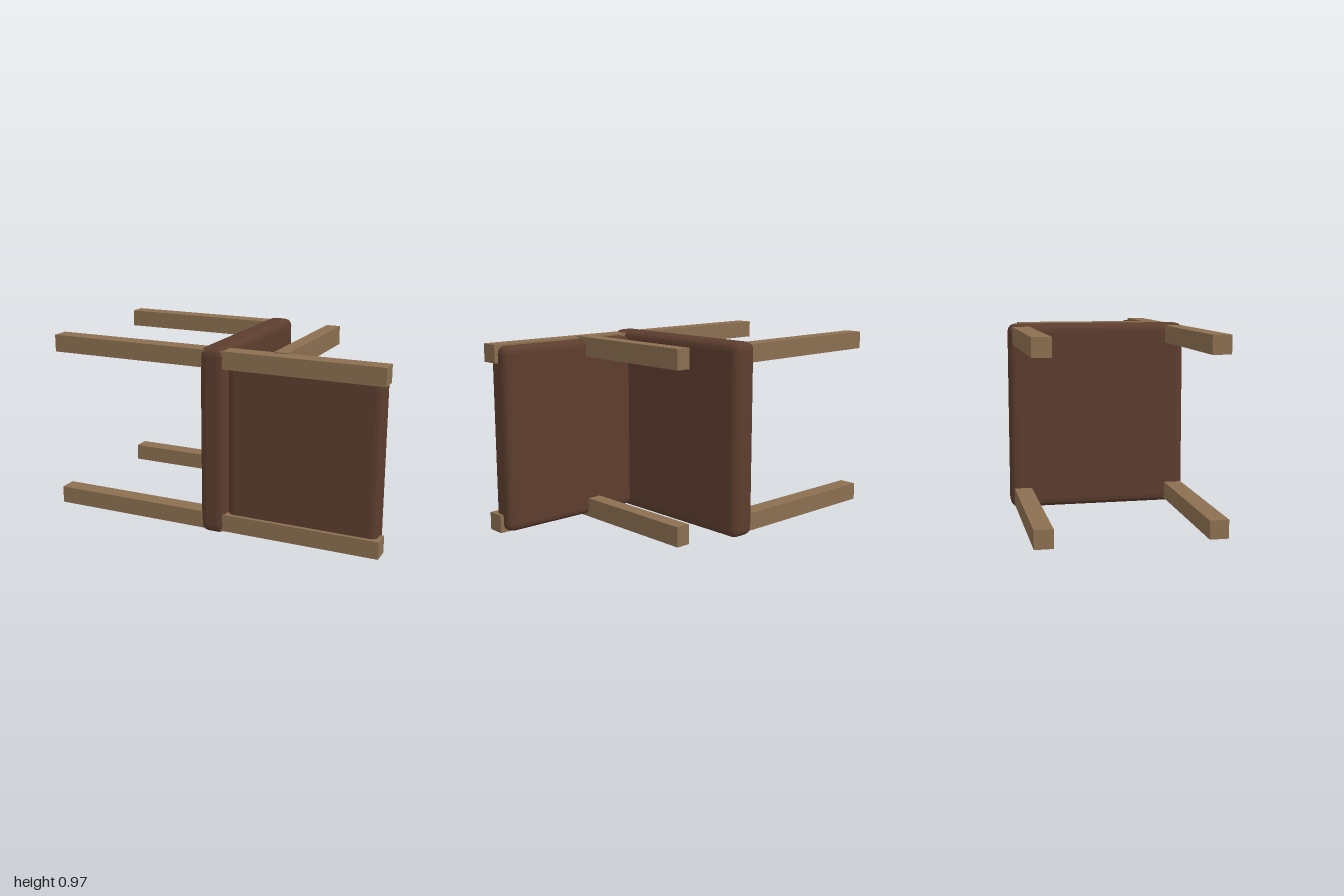
import * as THREE from 'three';
import { RoundedBoxGeometry } from 'three/addons/geometries/RoundedBoxGeometry.js';

export function createModel() {
  const wood = new THREE.MeshStandardMaterial({ color: 0x8b6f50, flatShading: true });
  wood.name = 'wood';
  const leather = new THREE.MeshStandardMaterial({ color: 0x5c3d2e, flatShading: true });
  leather.name = 'leather';

  const model = new THREE.Group();
  model.name = 'armchair';
  // The chair lies on its side, turned 20 degrees about the vertical.
  const chair = new THREE.Group();
  chair.name = 'chairOnItsSide';
  chair.rotation.y = THREE.MathUtils.degToRad(20);
  model.add(chair);

  // Adds a block between two corners; a radius makes it a bevelled cushion.
  function block(name, material, [x0, y0, z0], [x1, y1, z1], radius = 0) {
    const size = [x1 - x0, y1 - y0, z1 - z0];
    const geometry = radius
      ? new RoundedBoxGeometry(...size, 2, radius)
      : new THREE.BoxGeometry(...size);
    const mesh = new THREE.Mesh(geometry, material);
    mesh.name = name;
    mesh.position.set((x0 + x1) / 2, (y0 + y1) / 2, (z0 + z1) / 2);
    chair.add(mesh);
  }

  // Cushions
  block('seat', leather, [-0.01, 0, -0.582], [0.127, 0.972, 0.35], 0.04);
  block('backrest', leather, [0.13, 0.025, 0.19], [0.92, 0.95, 0.318], 0.035);

  // Frame, once for the lower side and once for the upper side
  for (const [side, y] of [['lower', 0.063], ['upper', 0.914]]) {
    block(side + 'BackLegAndPost', wood, [-0.858, y - 0.045, 0.247], [0.938, y + 0.045, 0.339]);
    block(side + 'FrontLeg', wood, [-0.86, y - 0.045, -0.565], [0.03, y + 0.045, -0.475]);
    block(side + 'Armrest', wood, [0.357, y - 0.05, -0.498], [0.432, y + 0.05, 0.265]);
  }
  return model;
}
